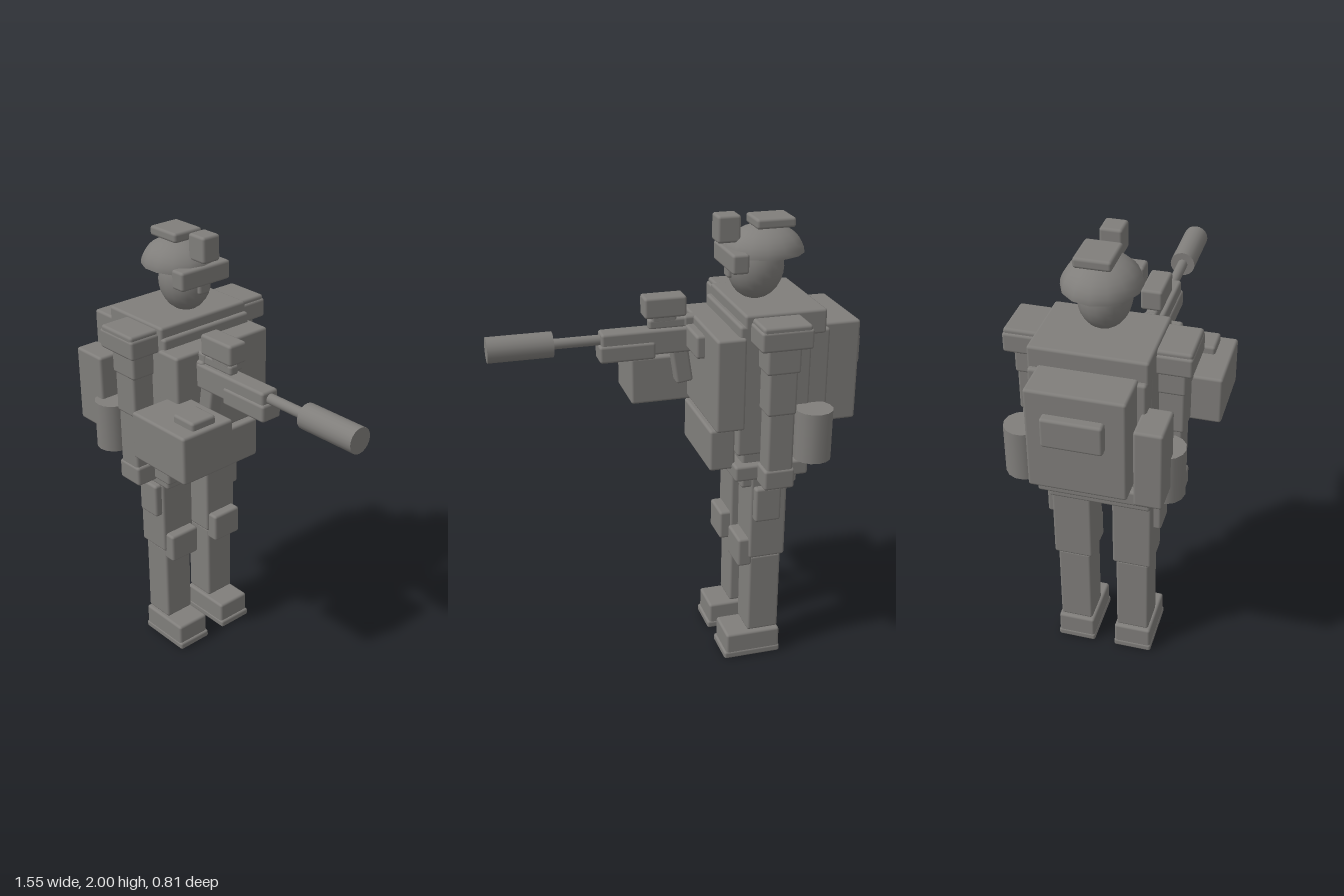
import * as THREE from 'three';
import { RoundedBoxGeometry } from 'three/addons/geometries/RoundedBoxGeometry.js';

export function createModel() {
  const model = new THREE.Group();
  model.name = 'soldier';
  const grey = new THREE.MeshStandardMaterial({ color: 0x807e7b, side: THREE.DoubleSide });
  grey.name = 'warm grey';
  const midZ = -0.035; // symmetry plane of the body

  const add = (name, geometry, x, y, z) => {
    const mesh = new THREE.Mesh(geometry, grey);
    mesh.name = name;
    mesh.position.set(x, y, z);
    model.add(mesh);
    return mesh;
  };

  // Rounded box given by its limits on each axis
  const box = (name, x0, x1, y0, y1, z0, z1) => {
    const w = x1 - x0, h = y1 - y0, d = z1 - z0;
    const r = Math.min(0.012, Math.min(w, h, d) * 0.3);
    return add(name, new RoundedBoxGeometry(w, h, d, 2, r), (x0 + x1) / 2, (y0 + y1) / 2, (z0 + z1) / 2);
  };

  // The same box on both sides of the body
  const pair = (name, x0, x1, y0, y1, z0, z1) => {
    box(name + 'Near', x0, x1, y0, y1, z0, z1);
    box(name + 'Far', x0, x1, y0, y1, 2 * midZ - z1, 2 * midZ - z0);
  };

  // Legs
  pair('sole', -0.435, -0.17, 0, 0.035, 0.01, 0.18);
  pair('boot', -0.432, -0.18, 0.02, 0.125, 0.013, 0.177);
  pair('shin', -0.425, -0.28, 0.13, 0.515, 0.022, 0.167);
  pair('thigh', -0.437, -0.272, 0.515, 0.93, 0.01, 0.18);
  pair('kneePad', -0.29, -0.225, 0.475, 0.61, 0.02, 0.17);
  pair('thighPouch', -0.4, -0.283, 0.71, 0.87, 0.17, 0.213);

  // Hips and belt
  box('hips', -0.48, -0.23, 0.865, 1.05, -0.245, 0.185);
  box('belt', -0.515, -0.19, 0.915, 0.985, -0.28, 0.21);
  box('buckle', -0.2, -0.145, 0.925, 0.98, -0.095, 0.03);
  box('bellyPouch', -0.205, -0.093, 0.955, 1.14, -0.227, 0.162);

  // Torso and plates
  box('torso', -0.51, -0.2, 1.03, 1.6, -0.27, 0.2);
  box('yoke', -0.57, -0.22, 1.54, 1.645, -0.27, 0.2);
  box('chestPlate', -0.225, -0.1, 1.155, 1.555, -0.288, 0.22);
  box('chestPatch', -0.12, -0.065, 1.42, 1.52, -0.115, 0.115);
  box('backPlate', -0.59, -0.49, 1.13, 1.56, -0.265, 0.195);

  // Arms
  pair('shoulderCap', -0.455, -0.25, 1.59, 1.632, 0.19, 0.335);
  pair('shoulderPad', -0.462, -0.243, 1.53, 1.615, 0.19, 0.338);
  pair('sleeve', -0.425, -0.28, 1.42, 1.54, 0.19, 0.307);
  pair('upperArm', -0.415, -0.29, 1.24, 1.44, 0.19, 0.302);
  pair('forearm', -0.412, -0.298, 0.98, 1.255, 0.195, 0.295);
  pair('hand', -0.42, -0.287, 0.905, 0.995, 0.195, 0.3);

  // Pack, side pouch and canteens
  box('backpack', -0.738, -0.54, 1.13, 1.57, -0.23, 0.16);
  box('packPocket', -0.775, -0.72, 1.35, 1.477, -0.16, 0.08);
  box('sidePouch', -0.71, -0.537, 1.09, 1.435, 0.175, 0.29);
  for (const side of [-1, 1])
    add('canteen', new THREE.CylinderGeometry(0.08, 0.08, 0.22, 14), -0.51, 1.13, midZ + side * 0.29);

  // Head, helmet and eyewear
  add('head', new THREE.SphereGeometry(1, 20, 14), -0.34, 1.775, -0.03).scale.set(0.12, 0.135, 0.107);
  const dome = new THREE.SphereGeometry(1, 14, 8, 0, Math.PI * 2, 0, Math.PI / 2);
  add('helmet', dome, -0.375, 1.835, -0.03).scale.set(0.168, 0.115, 0.155);
  box('helmetPatch', -0.482, -0.315, 1.943, 1.985, -0.11, 0.037);
  box('goggles', -0.27, -0.198, 1.78, 1.862, -0.162, 0.1);
  box('noseGuard', -0.265, -0.21, 1.738, 1.79, -0.06, -0.003);
  box('nightSight', -0.26, -0.162, 1.888, 2, -0.075, 0.015);

  // Rifle
  const gunZ = 0.077;
  const tube = (name, x0, x1, r) => {
    add(name, new THREE.CylinderGeometry(r, r, x1 - x0, 20), (x0 + x1) / 2, 1.477, gunZ).rotation.z = -Math.PI / 2;
  };
  tube('barrel', 0.28, 0.52, 0.022);
  tube('suppressor', 0.5, 0.773, 0.054);
  box('receiver', -0.1, 0.3, 1.4, 1.51, 0.035, 0.12);
  box('handguard', 0.07, 0.31, 1.385, 1.46, 0.027, 0.127);
  box('rail', -0.1, 0.093, 1.505, 1.55, 0.055, 0.1);
  box('stock', -0.16, -0.06, 1.505, 1.555, 0.05, 0.103);
  box('optic', -0.067, 0.115, 1.56, 1.65, 0.033, 0.123);
  box('opticMount', -0.03, 0.08, 1.53, 1.575, 0.055, 0.1);
  box('grip', -0.09, -0.015, 1.255, 1.43, 0.05, 0.115).rotation.z = -0.15;

  // Utility case at the front
  box('case', -0.177, 0.152, 1.14, 1.352, 0.14, 0.403);
  box('caseLid', 0.002, 0.126, 1.34, 1.385, 0.21, 0.333);

  return model;
}
